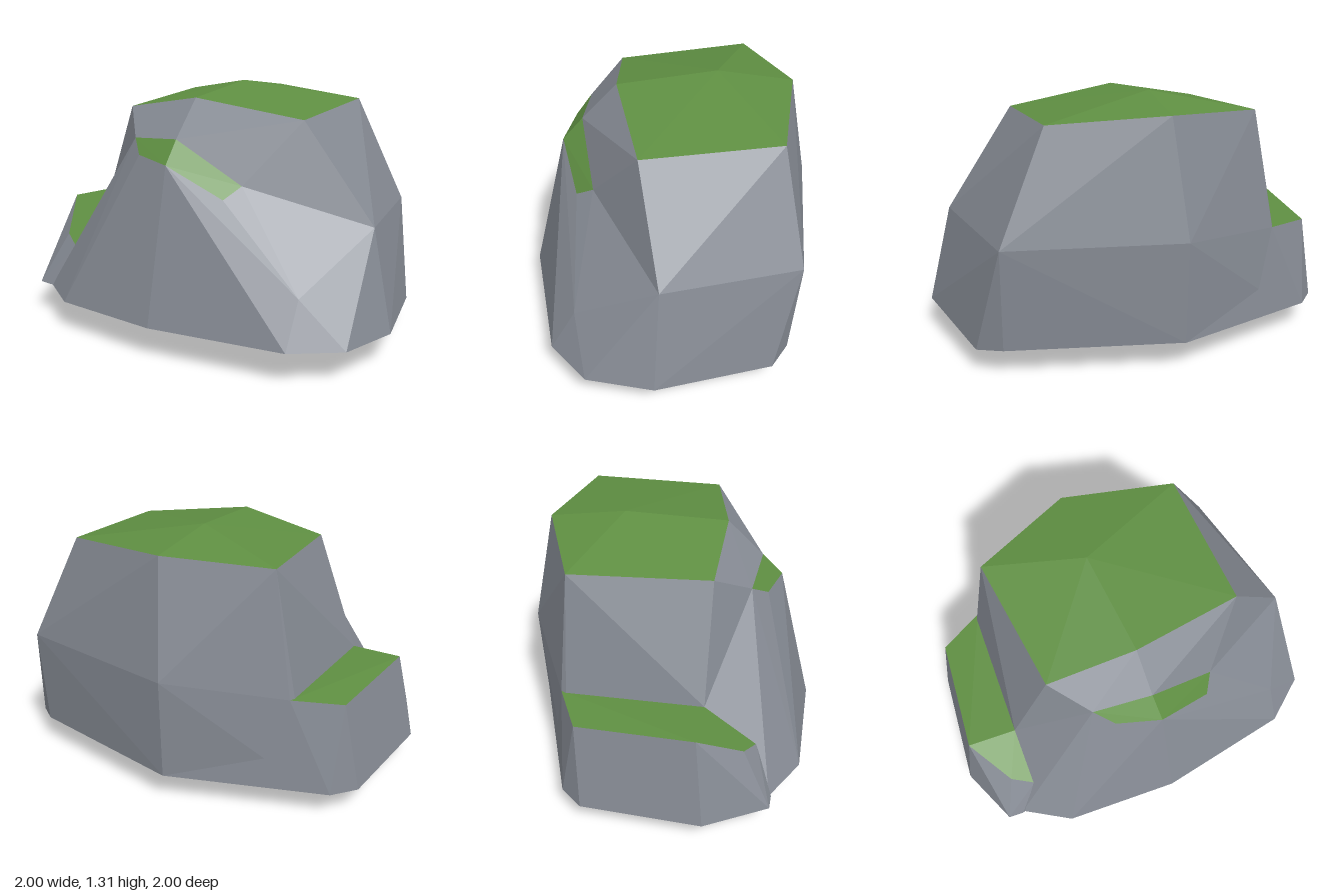
import * as THREE from 'three';
import { ConvexGeometry } from 'three/addons/geometries/ConvexGeometry.js';

const stone = new THREE.MeshStandardMaterial({ color: 0x868b94 });
stone.name = 'stone grey';
const moss = new THREE.MeshStandardMaterial({ color: 0x5f8f42 });
moss.name = 'moss green';

// Corners shared by several boulders
const FOOT = [-0.15, 0, 0.11]; // lowest point
const BACK_LEFT = [0.52, 0.15, -0.6];
const FRONT_LEFT = [0.64, 0.165, 0.83];
const SHOULDER = [0.58, 0.68, 0.72];
const NOTCH = [-0.6, 0.605, -0.4];
const LEDGE_END = [-0.04, 0.605, -0.85];
const SHIN = [[0.15, 0.4, 0.86], [0.3, 0.4, 0.85]];
const RIM = [[-0.48, 1.05, 0.02], [-0.31, 1.075, 0.27], [-0.03, 0.87, 0.5]];

// Faceted boulder: faces whose corners all lie on the mossy points become moss.
function boulder(name, mossPoints, stonePoints) {
  const toVec = (p) => new THREE.Vector3(...p);
  const caps = mossPoints.map(toVec);
  const hull = new ConvexGeometry([...caps, ...stonePoints.map(toVec)]);
  const pos = hull.getAttribute('position');
  const faces = { Moss: [], Stone: [] };
  for (let i = 0; i < pos.count; i += 3) {
    const corners = [0, 1, 2].map((k) => new THREE.Vector3().fromBufferAttribute(pos, i + k));
    const mossy = corners.every((v) => caps.some((c) => c.distanceTo(v) < 1e-4));
    faces[mossy ? 'Moss' : 'Stone'].push(...corners);
  }
  const group = new THREE.Group();
  group.name = name;
  for (const [part, material] of [['Moss', moss], ['Stone', stone]]) {
    if (faces[part].length === 0) continue;
    const geometry = new THREE.BufferGeometry().setFromPoints(faces[part]);
    geometry.computeVertexNormals();
    const mesh = new THREE.Mesh(geometry, material);
    mesh.name = name + part;
    group.add(mesh);
  }
  return group;
}

export function createModel() {
  const model = new THREE.Group();
  model.name = 'mossyRock';

  // Tall main boulder: mossy cap, then middle and base rings
  model.add(boulder('mainBoulder',
    [
      [0.18, 1.31, -0.24],
      [-0.46, 1.185, -0.22], [0, 1.22, -0.74], [0.48, 1.255, -0.49],
      [0.77, 1.22, 0.02], [0.28, 1.185, 0.51], [-0.18, 1.265, 0.14],
    ],
    [
      ...RIM, NOTCH, LEDGE_END, [0.53, 0.67, -0.61],
      [1, 0.67, 0.14], SHOULDER, [-0.23, 0.67, 0.49],
      [-0.66, 0.17, -0.2], [-0.12, 0.14, -0.92], BACK_LEFT,
      [0.97, 0.15, 0.16], [0.98, 0.13, 0.31], FRONT_LEFT, [-0.45, 0.17, 0.4],
    ]));

  // Low boulder forming a ledge at the back right
  model.add(boulder('backBoulder',
    [
      [-0.28, 0.59, -0.95], LEDGE_END, NOTCH,
      [-0.76, 0.61, -0.6], [-0.8, 0.4, -0.23], [-0.83, 0.445, -0.35],
    ],
    [
      [-1, 0.175, -0.33], [-0.95, 0.175, -0.265], [-0.85, 0.15, -0.64],
      [-0.35, 0.14, -1], [-0.2, 0.14, -1], [-0.12, 0.14, -0.92],
      BACK_LEFT, FOOT,
    ]));

  // Leaning boulder at the front with a narrow mossy rim
  model.add(boulder('frontBoulder',
    [...RIM, [-0.48, 0.98, 0.14], [-0.38, 0.96, 0.35], [-0.13, 0.81, 0.52]],
    [
      NOTCH, [-0.8, 0.39, -0.23], [-0.81, 0.38, -0.09], ...SHIN, SHOULDER,
      [-0.94, 0.17, -0.27], [-0.89, 0.165, 0.01], [-0.51, 0.17, 0.49],
      [0.06, 0.175, 0.95], [0.32, 0.17, 0.9], FRONT_LEFT, BACK_LEFT, FOOT,
    ]));

  // Wedge of stone spreading out at the foot of the front
  model.add(boulder('frontFoot', [],
    [...SHIN, SHOULDER, [0.06, 0.175, 0.95], [0.34, 0.175, 1], FRONT_LEFT, FOOT]));

  return model;
}
